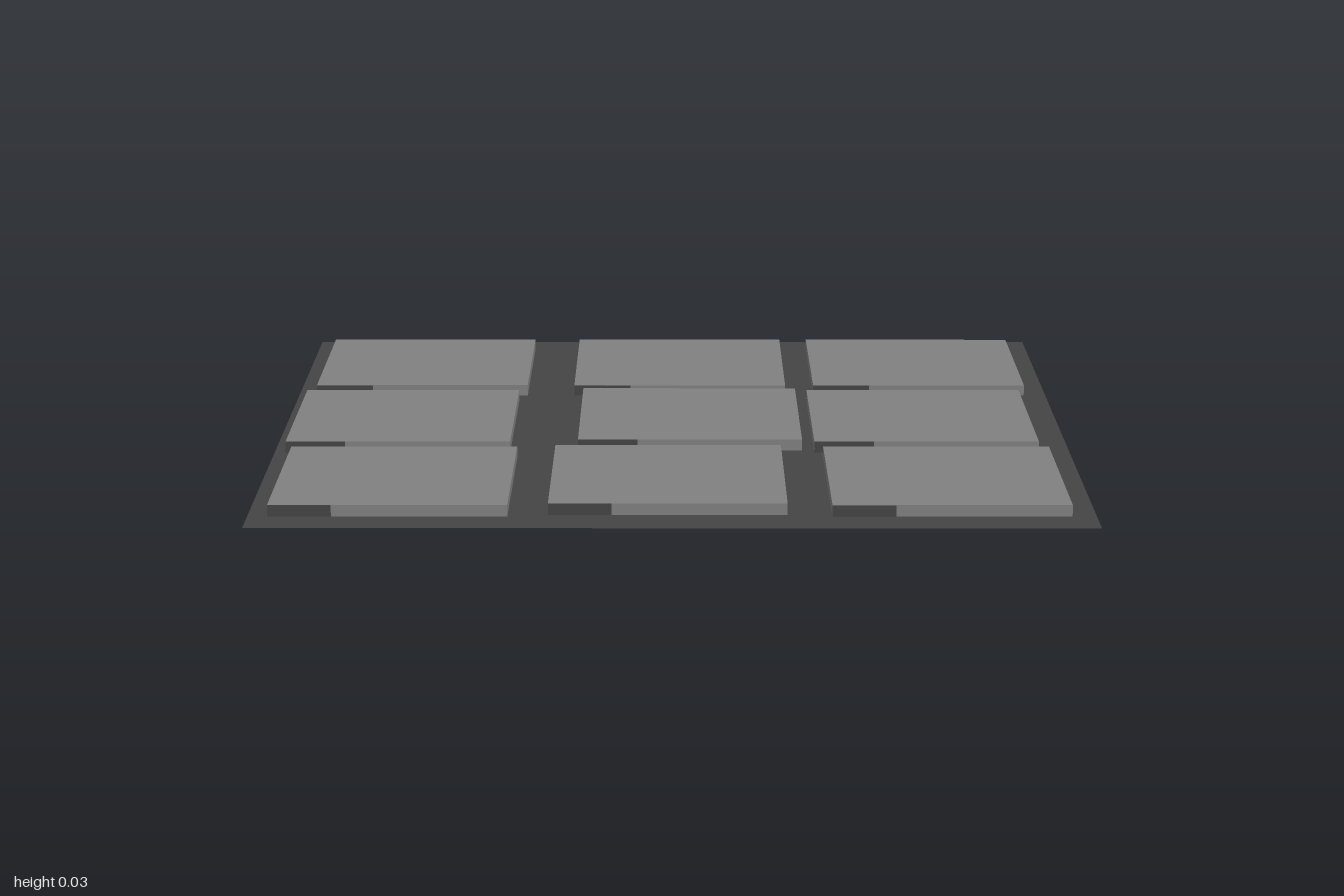
import * as THREE from 'three';

const SIZE = 0.565, HEIGHT = 0.03, PATCH = 0.15;

// Tile centres as [x, z], row by row from the back
const CENTRES = [
  [-0.67, -0.62], [0.02, -0.62], [0.66, -0.62],
  [-0.69, 0], [0.045, -0.02], [0.64, 0],
  [-0.67, 0.615], [-0.01, 0.6], [0.66, 0.615],
];

export function createModel() {
  const model = new THREE.Group();
  model.name = 'tiledFloor';

  const stone = new THREE.MeshStandardMaterial({ color: 0x808080 });
  stone.name = 'stone grey';
  const grout = new THREE.MeshStandardMaterial({ color: 0x444444, side: THREE.DoubleSide });
  grout.name = 'dark grey';

  // Thin ground sheet, just above the undersides of the tiles
  const base = new THREE.Mesh(new THREE.PlaneGeometry(2, 2).rotateX(-Math.PI / 2), grout);
  base.name = 'groundSheet';
  base.position.y = 0.002;
  model.add(base);

  const slabGeometry = new THREE.BoxGeometry(SIZE, HEIGHT, SIZE);
  const patchGeometry = new THREE.PlaneGeometry(PATCH, HEIGHT);

  for (const [x, z] of CENTRES) {
    const tile = new THREE.Group();
    tile.name = 'tile';
    tile.position.set(x, HEIGHT / 2, z);

    const slab = new THREE.Mesh(slabGeometry, stone);
    slab.name = 'slab';

    // Dark section at one end of the front edge
    const patch = new THREE.Mesh(patchGeometry, grout);
    patch.name = 'darkEdge';
    patch.position.set((PATCH - SIZE) / 2, 0, SIZE / 2 + 0.001);

    tile.add(slab, patch);
    model.add(tile);
  }
  return model;
}
